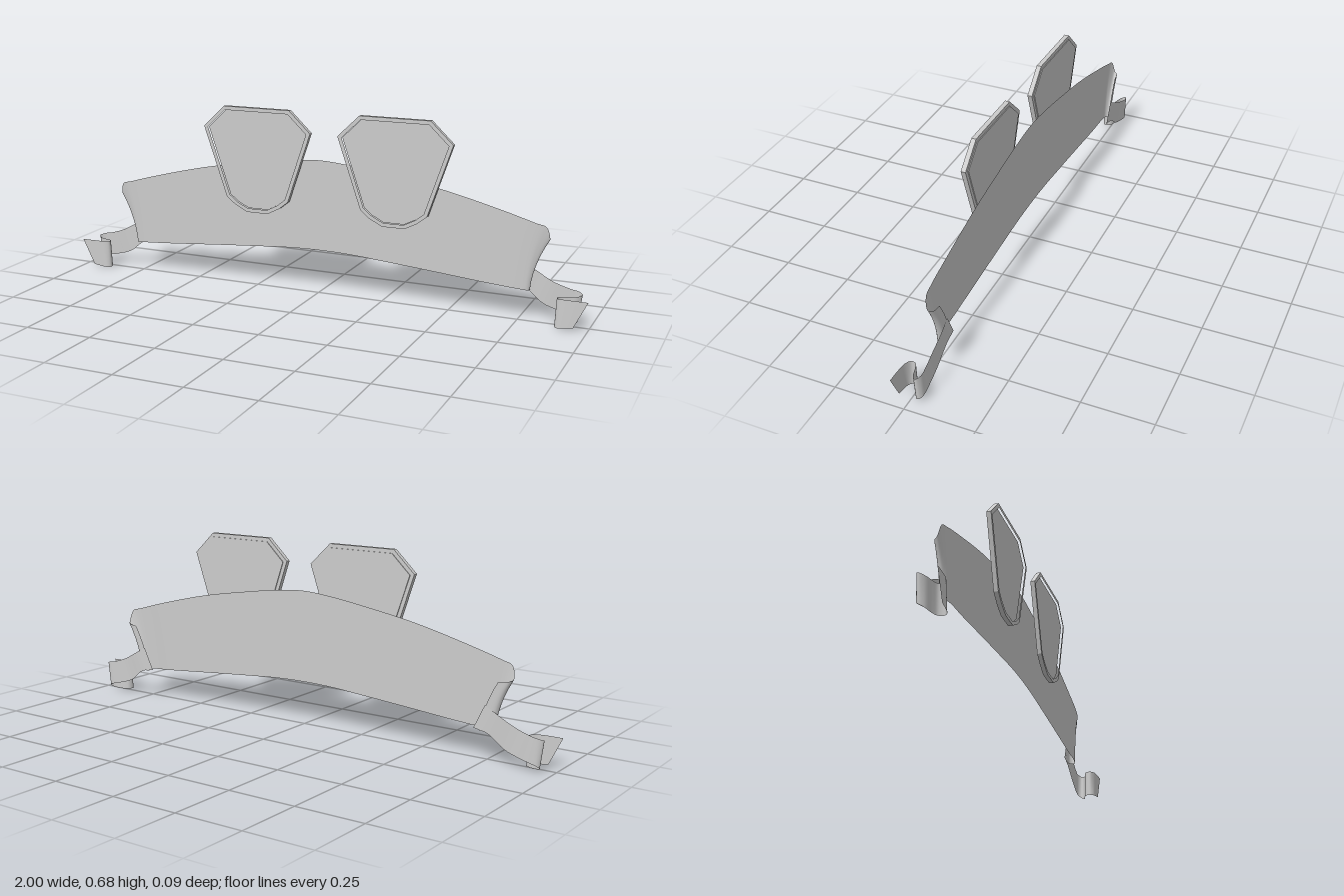
import * as THREE from 'three';

const sheet = new THREE.MeshStandardMaterial({ color: 0xcccccc, side: THREE.DoubleSide });
const solid = new THREE.MeshStandardMaterial({ color: 0xcccccc, flatShading: true });

// Cross-sections of the ribbon's left half: [top x, top y, bottom x, bottom y, z, sideways bow]
const bannerHalf = [
  [0.12, 0.488, 0.12, 0.157, -0.007, 0],
  [0.28, 0.465, 0.27, 0.146, -0.007, 0],
  [0.47, 0.432, 0.43, 0.133, -0.007, 0],
  [0.68, 0.381, 0.64, 0.115, -0.007, 0],
  [0.80, 0.347, 0.755, 0.107, -0.007, -0.005],
  [0.837, 0.335, 0.778, 0.105, -0.011, -0.011],
  [0.848, 0.29, 0.785, 0.105, -0.021, -0.012],
  [0.838, 0.285, 0.775, 0.105, -0.033, -0.012],
  [0.80, 0.28, 0.735, 0.105, -0.037, -0.01],
];
const bannerCentre = [0, 0.497, 0, 0.16, -0.007, 0];

// The tail leaves the back fold, then doubles over twice toward the front
const tail = [
  [0.755, 0.195, 0.715, 0.112, -0.038, 0],
  [0.80, 0.172, 0.77, 0.10, -0.04, 0],
  [0.86, 0.14, 0.83, 0.056, -0.038, 0],
  [0.92, 0.12, 0.89, 0.036, -0.041, 0],
  [0.95, 0.114, 0.943, 0.022, -0.041, 0],
  [0.966, 0.108, 0.953, 0.012, -0.029, 0],
  [0.952, 0.103, 0.942, 0.003, -0.013, 0],
  [0.92, 0.102, 0.91, 0, -0.003, 0],
  [0.895, 0.102, 0.89, 0, 0.007, 0],
  [0.89, 0.102, 0.885, 0, 0.025, 0],
  [0.912, 0.104, 0.895, 0, 0.037, 0],
  [0.95, 0.105, 0.92, 0.003, 0.041, 0],
  [1.0, 0.105, 0.952, 0.008, 0.042, 0],
];

const mirrorStation = ([tx, ty, bx, by, z, bow]) => [-tx, ty, -bx, by, z, -bow];

// Smooth thin sheet lofted through the cross-sections
function loft(name, stations, perSpan = 5, rows = 6) {
  const top = new THREE.CatmullRomCurve3(stations.map(s => new THREE.Vector3(s[0], s[1], s[4])), false, 'centripetal');
  const bottom = new THREE.CatmullRomCurve3(stations.map(s => new THREE.Vector3(s[2], s[3], s[4])), false, 'centripetal');
  const spans = stations.length - 1, cols = spans * perSpan;
  const geo = new THREE.PlaneGeometry(1, 1, cols, rows);
  const pos = geo.attributes.position;
  for (let j = 0; j <= rows; j++) {
    for (let i = 0; i <= cols; i++) {
      const u = i / cols, v = j / rows;
      const k = Math.min(Math.floor(u * spans), spans - 1);
      const bow = THREE.MathUtils.lerp(stations[k][5], stations[k + 1][5], u * spans - k);
      const p = top.getPoint(u).lerp(bottom.getPoint(u), v);
      pos.setXYZ(j * (cols + 1) + i, p.x + bow * 4 * v * (1 - v), p.y, p.z);
    }
  }
  geo.computeVertexNormals();
  const mesh = new THREE.Mesh(geo, sheet);
  mesh.name = name;
  return mesh;
}

// Right half of the plaque outline, top to bottom, about its own centre line
const outline = [[0.132, 0.675], [0.215, 0.596], [0.125, 0.335], [0.09, 0.307], [0.042, 0.283]];
const loop = outline.concat(outline.map(([x, y]) => [-x, y]).reverse()).map(p => new THREE.Vector2(...p));

// Offset a clockwise outline inward by an even margin
function inset(points, d) {
  const n = points.length;
  return points.map((p, i) => {
    const a = p.clone().sub(points[(i + n - 1) % n]).normalize();
    const b = points[(i + 1) % n].clone().sub(p).normalize();
    const na = new THREE.Vector2(a.y, -a.x), nb = new THREE.Vector2(b.y, -b.x);
    const m = na.clone().add(nb);
    return p.clone().addScaledVector(m, d / (1 + na.dot(nb)));
  });
}

function slab(name, shape, z0, z1) {
  const geo = new THREE.ExtrudeGeometry(shape, { depth: z1 - z0, bevelEnabled: false });
  geo.translate(0, 0, z0);
  const mesh = new THREE.Mesh(geo, solid);
  mesh.name = name;
  return mesh;
}

// Raised rim around a recessed panel
function plaque(name, x) {
  const group = new THREE.Group();
  group.name = name;
  const inner = inset(loop, 0.014);
  const rim = new THREE.Shape(loop);
  rim.holes.push(new THREE.Path(inner));
  group.add(slab('plaqueRim', rim, 0.003, 0.02));
  group.add(slab('plaquePanel', new THREE.Shape(inner), 0, 0.012));
  group.position.x = x;
  return group;
}

export function createModel() {
  const model = new THREE.Group();
  model.name = 'ribbonBanner';
  // Arched band with both ends folded behind
  const band = [...bannerHalf.map(mirrorStation).reverse(), bannerCentre, ...bannerHalf];
  model.add(loft('bannerBand', band));
  // Curling tails
  model.add(loft('leftTail', tail));
  model.add(loft('rightTail', tail.map(mirrorStation)));
  // Plaques in front of the band
  model.add(plaque('leftPlaque', 0.296));
  model.add(plaque('rightPlaque', -0.24));
  return model;
}
